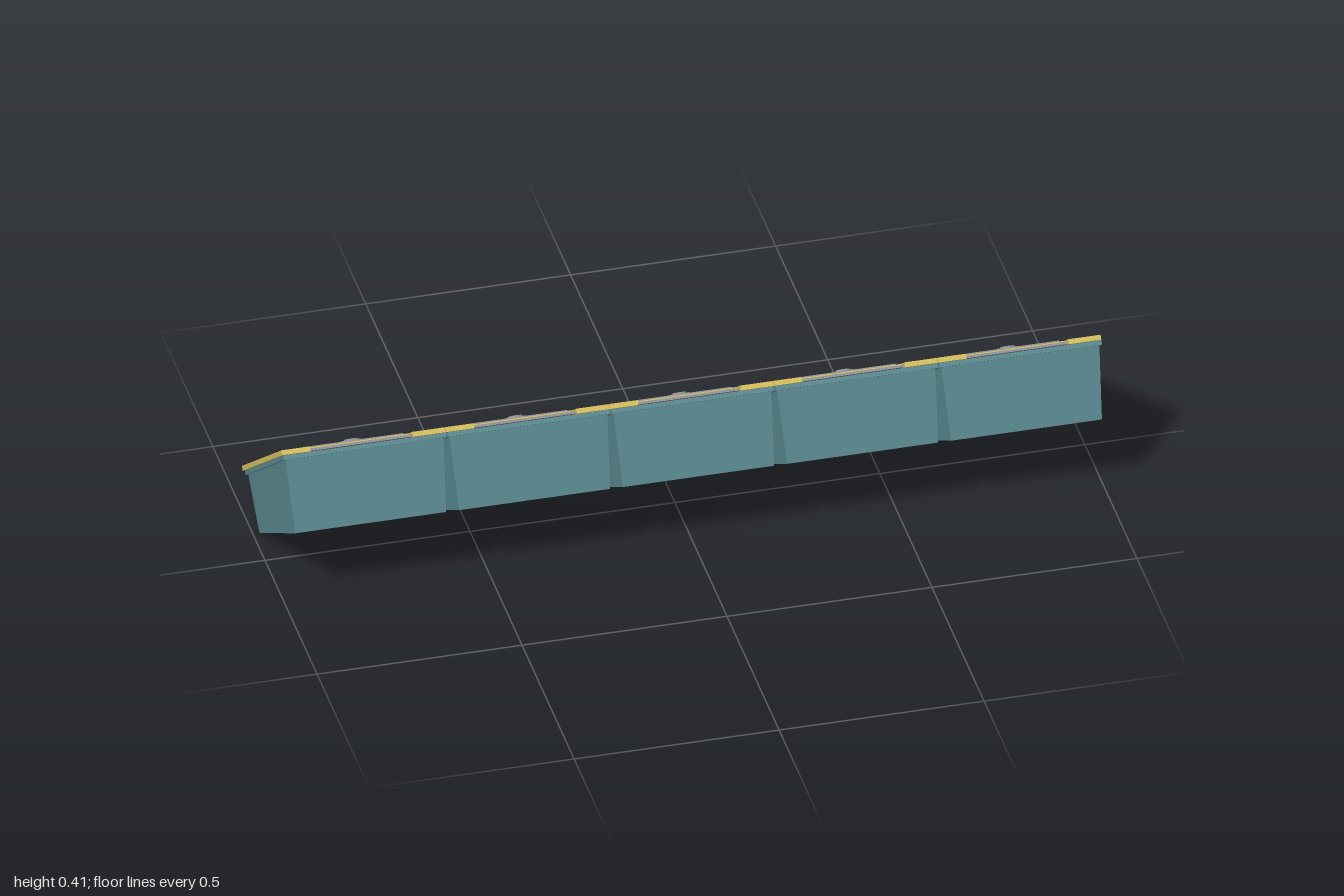
import * as THREE from 'three';

const mat = (name, color) => Object.assign(new THREE.MeshStandardMaterial({ color }), { name });

export function createModel() {
  const teal = mat('teal bin', 0x5a8a90);
  const yellow = mat('yellow lid', 0xd8c05f);
  const grey = mat('grey metal', 0x929497);
  const dark = mat('dark slot', 0x4a4d50);

  const model = new THREE.Group();
  model.name = 'binRow';

  const add = (parent, name, geometry, material, x = 0, y = 0, z = 0) => {
    const mesh = new THREE.Mesh(geometry, material);
    mesh.name = name;
    mesh.position.set(x, y, z);
    parent.add(mesh);
    return mesh;
  };

  // Tapered bin body: a box whose corners are moved to the side profile
  const binGeometry = () => {
    const g = new THREE.BoxGeometry(1, 1, 1).toNonIndexed();
    const p = g.attributes.position;
    for (let i = 0; i < p.count; i++) {
      const top = p.getY(i) > 0, front = p.getZ(i) > 0;
      const [z, y] = top ? (front ? [0.167, 0.398] : [-0.188, 0.125])
        : (front ? [0.227, 0.223] : [-0.116, 0.002]);
      p.setXYZ(i, Math.sign(p.getX(i)) * (top ? 0.193 : 0.184), y, z);
    }
    g.computeVertexNormals();
    return g;
  };

  // Lid outline with a notch at its front edge for the handle
  const lidGeometry = () => {
    const w = 0.199, f = 0.239, n = 0.191;
    const s = new THREE.Shape([
      [-w, -f], [-0.13, -f], [-0.13, -n], [0.12, -n], [0.12, -f],
      [w, -f], [w, f], [-w, f],
    ].map(([x, y]) => new THREE.Vector2(x, y)));
    return new THREE.ExtrudeGeometry(s, { depth: 0.012, bevelEnabled: false })
      .rotateX(-Math.PI / 2).translate(0, -0.012, 0);
  };

  const bin = binGeometry(), lid = lidGeometry();

  for (let i = 0; i < 5; i++) {
    const unit = new THREE.Group();
    unit.name = 'bin' + (i + 1);
    unit.position.x = (i - 2) * 0.4;
    model.add(unit);
    add(unit, 'binBody', bin, teal);

    // Everything on the slanted opening shares one tilted frame
    const cover = new THREE.Group();
    cover.name = 'cover';
    cover.position.set(0, 0.27, -0.035);
    cover.rotation.x = -Math.atan2(0.29, 0.38);
    unit.add(cover);

    add(cover, 'rim', new THREE.BoxGeometry(0.396, 0.011, 0.46), teal, 0, -0.0185, 0.014);
    add(cover, 'lid', lid, yellow);

    // Recessed pull handle with its raised back strip
    add(cover, 'handlePlate', new THREE.BoxGeometry(0.25, 0.006, 0.044), grey, -0.005, -0.008, 0.215);
    add(cover, 'handleStrip', new THREE.BoxGeometry(0.226, 0.003, 0.009), grey, -0.005, 0.001, 0.187);
    add(cover, 'handleGroove', new THREE.BoxGeometry(0.25, 0.002, 0.003), dark, -0.005, -0.005, 0.193);

    // Round lock
    add(cover, 'lockPlate', new THREE.CylinderGeometry(0.026, 0.027, 0.005, 24), grey, -0.01, 0.0025, 0.151);
    add(cover, 'lockRing', new THREE.TorusGeometry(0.015, 0.0025, 6, 24).rotateX(Math.PI / 2), grey, -0.01, 0.006, 0.151);
    add(cover, 'lockSlot', new THREE.BoxGeometry(0.014, 0.002, 0.004), dark, -0.01, 0.0055, 0.151);
  }
  return model;
}
